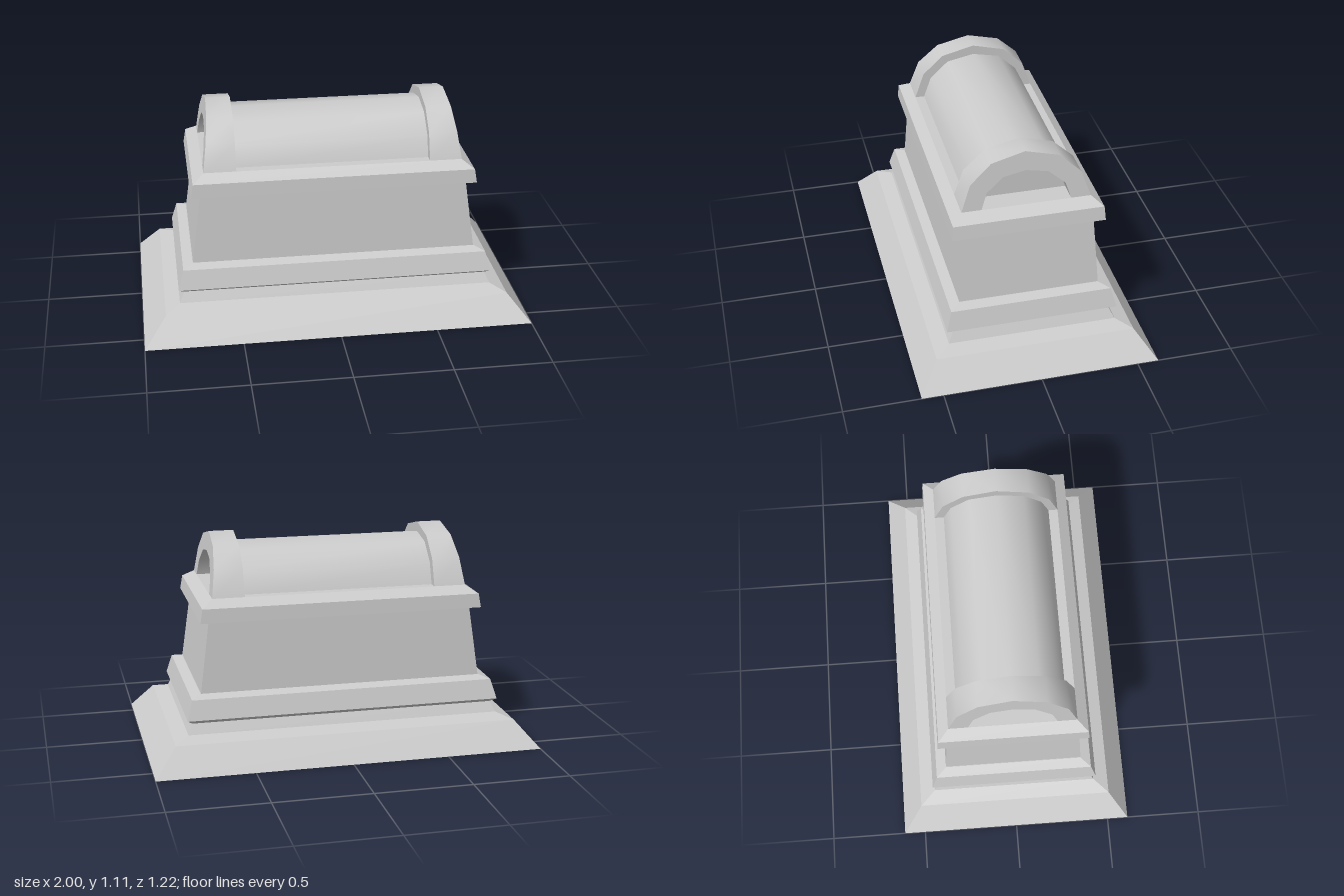
import * as THREE from 'three';
import { toCreasedNormals } from 'three/addons/utils/BufferGeometryUtils.js';

const material = new THREE.MeshStandardMaterial({ color: 0xcccccc });
const flatMaterial = new THREE.MeshStandardMaterial({ color: 0xcccccc, flatShading: true });

// Rectangular tiers [half width, half depth, height], closed at both ends
function tiers(name, levels) {
  const pos = [], idx = [];
  for (const [x, z, y] of levels) pos.push(x, y, z, x, y, -z, -x, y, -z, -x, y, z);
  for (let i = 0; i < levels.length - 1; i++) {
    for (let k = 0; k < 4; k++) {
      const a = i * 4 + k, b = i * 4 + (k + 1) % 4;
      idx.push(a, b, b + 4, a, b + 4, a + 4);
    }
  }
  const t = (levels.length - 1) * 4;
  idx.push(0, 2, 1, 0, 3, 2, t, t + 1, t + 2, t, t + 2, t + 3);
  const indexed = new THREE.BufferGeometry();
  indexed.setAttribute('position', new THREE.Float32BufferAttribute(pos, 3));
  indexed.setIndex(idx);
  const geo = indexed.toNonIndexed();
  geo.computeVertexNormals();
  const mesh = new THREE.Mesh(geo, flatMaterial);
  mesh.name = name;
  return mesh;
}

// Full arch outline from its half profile, running from the foot to the crown
function archPoints(half) {
  const mirrored = half.slice(0, -1).reverse().map(([z, y]) => [-z, y]);
  return [...half, ...mirrored].map(([z, y]) => new THREE.Vector2(z, y));
}

// Extrudes a (z, y) outline along x
function extrudeAlongX(points, x0, x1) {
  const geo = new THREE.ExtrudeGeometry(new THREE.Shape(points), {
    depth: x1 - x0, bevelEnabled: false,
  });
  return geo.rotateY(Math.PI / 2).translate(x0, 0, 0);
}

export function createModel() {
  const group = new THREE.Group();
  group.name = 'sarcophagus';
  const lidTop = 0.83, crown = 1.108;

  // Stepped plinth with an undercut moulding
  group.add(tiers('plinth', [
    [1.0, 0.61, 0], [0.885, 0.508, 0.136], [0.81, 0.43, 0.16], [0.785, 0.405, 0.212],
    [0.813, 0.438, 0.235], [0.785, 0.41, 0.335], [0.735, 0.358, 0.35],
  ]));

  // Tapered chest and its lid
  group.add(tiers('chest', [[0.732, 0.358, 0.35], [0.682, 0.336, 0.72]]));
  group.add(tiers('lid', [[0.73, 0.385, 0.72], [0.718, 0.379, 0.792], [0.66, 0.325, lidTop]]));

  // Barrel vault; its ends close the arch openings
  const vault = archPoints([[0.277, lidTop], [0.237, 0.94], [0.142, 1.028], [0, 1.057]]);
  const barrel = new THREE.Mesh(
    toCreasedNormals(extrudeAlongX(vault, -0.55, 0.55), 0.65), material);
  barrel.name = 'barrelVault';
  group.add(barrel);

  // Arched end bands with leaning outer faces
  const outer = archPoints([[0.325, lidTop], [0.277, 0.966], [0.17, 1.065], [0, crown]]);
  const inner = archPoints([[0.225, lidTop], [0.197, 0.915], [0.112, 0.988], [0, 1.009]]);
  const band = extrudeAlongX([...outer, ...inner.reverse()], 0.495, 0.66);
  const p = band.attributes.position;
  for (let i = 0; i < p.count; i++) {
    if (p.getX(i) > 0.6) p.setX(i, 0.66 - 0.038 * (p.getY(i) - lidTop) / (crown - lidTop));
  }
  band.computeVertexNormals();
  const bandGeo = toCreasedNormals(band, 0.65);
  for (const [name, turn] of [['leftEndArch', 0], ['rightEndArch', Math.PI]]) {
    const arch = new THREE.Mesh(bandGeo, material);
    arch.name = name;
    arch.rotation.y = turn;
    group.add(arch);
  }
  return group;
}
